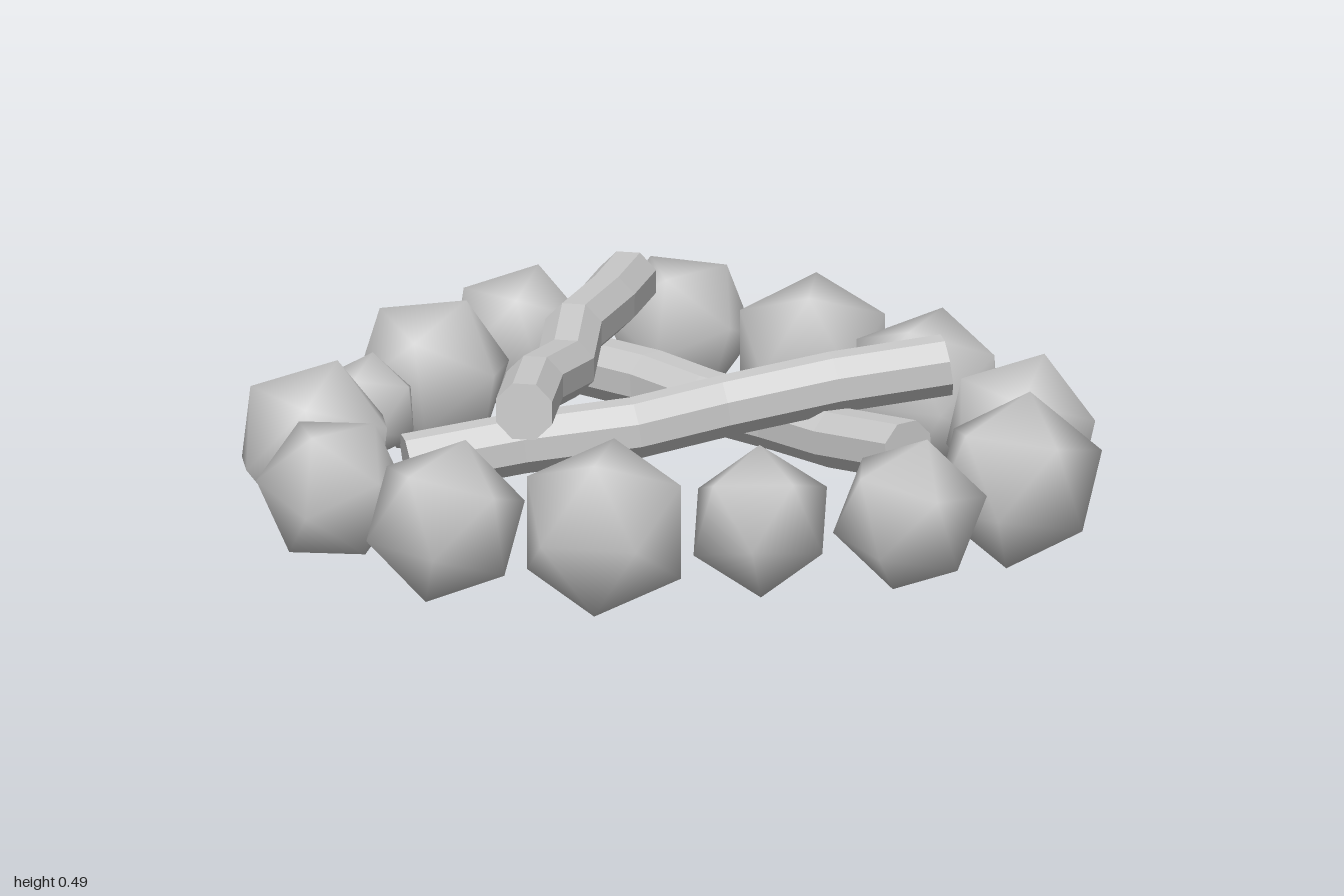
import * as THREE from 'three';
import { mergeVertices } from 'three/addons/utils/BufferGeometryUtils.js';

const vec = (x, y, z) => new THREE.Vector3(x, y, z);

// Unit direction from a compass angle (x towards z) and an elevation, in degrees
function direction(angle, elevation) {
  const a = THREE.MathUtils.degToRad(angle), e = THREE.MathUtils.degToRad(elevation);
  return vec(Math.cos(a) * Math.cos(e), Math.sin(e), Math.sin(a) * Math.cos(e));
}

// Orthonormal frame spanned by two directions
function frame(a, b) {
  const x = a.clone().normalize();
  const z = a.clone().cross(b).normalize();
  return new THREE.Matrix4().makeBasis(x, z.clone().cross(x), z);
}

// Smooth-shaded icosahedron with two neighbouring corners turned to given directions
function stoneGeometry(r, a, b) {
  let geo = new THREE.IcosahedronGeometry(r, 0);
  geo.deleteAttribute('uv');
  geo.deleteAttribute('normal');
  geo = mergeVertices(geo, 1e-4);
  const t = (1 + Math.sqrt(5)) / 2;
  const from = frame(vec(-1, t, 0), vec(1, t, 0));
  geo.applyMatrix4(frame(a, b).multiply(from.transpose()));
  geo.computeVertexNormals();
  return geo;
}

// Eight-sided log whose rings follow a crooked path
function logGeometry(points, r) {
  const path = points.map(p => vec(...p));
  const n = path.length - 1;
  const geo = new THREE.CylinderGeometry(r, r, 1, 8, n, false, Math.PI / 8);
  const along = path[n].clone().sub(path[0]).normalize();
  const side = along.clone().cross(vec(0, 1, 0)).normalize();
  const up = side.clone().cross(along);
  const pos = geo.attributes.position;
  for (let i = 0; i < pos.count; i++) {
    const ring = Math.round((pos.getY(i) + 0.5) * n);
    const p = path[ring].clone()
      .addScaledVector(side, pos.getX(i))
      .addScaledVector(up, pos.getZ(i));
    pos.setXYZ(i, p.x, p.y, p.z);
  }
  geo.computeVertexNormals();
  return geo;
}

export function createModel() {
  const model = new THREE.Group();
  model.name = 'campfire';
  const stoneMaterial = new THREE.MeshStandardMaterial({ color: 0xcccccc });
  const logMaterial = new THREE.MeshStandardMaterial({ color: 0xcccccc, flatShading: true });

  // Ring of stones: x, z, radius, then angle and elevation of two corners
  const ring = new THREE.Group();
  ring.name = 'stoneRing';
  const stones = [
    [-0.23, -0.815, 0.176, -85, 11, -26, -11],
    [0.12, -0.665, 0.196, -131, 0, -65, 0],
    [0.44, -0.457, 0.2, -114, 0, -47, 0],
    [0.73, -0.2, 0.19, -122, 25, -56, 8],
    [0.815, 0.16, 0.205, -91, 12, -27, 17],
    [0.64, 0.48, 0.182, -80, 20, -17, 15],
    [0.32, 0.615, 0.175, -98, 8, -36, 22],
    [-0.015, 0.75, 0.212, -124, 0, -56, 0],
    [-0.38, 0.79, 0.192, -95, 12, -32, 10],
    [-0.695, 0.605, 0.178, -84, 8, -23, -8],
    [-0.82, 0.275, 0.198, -116, 22, -49, 8],
    [-0.77, -0.02, 0.127, -116, 12, -48, 12],
    [-0.69, -0.305, 0.193, -99, 25, -38, 4],
    [-0.565, -0.635, 0.172, -120, 15, -60, 5],
  ];
  stones.forEach(([x, z, r, a1, e1, a2, e2], i) => {
    const geo = stoneGeometry(r, direction(a1, e1), direction(a2, e2));
    const stone = new THREE.Mesh(geo, stoneMaterial);
    stone.name = `stone${i + 1}`;
    stone.position.set(x, 0.2, z);
    ring.add(stone);
  });
  model.add(ring);

  // Three crooked logs stacked in a triangle
  const logs = {
    topLog: [[-0.31, 0.355, -0.64], [-0.3, 0.37, -0.4], [-0.305, 0.39, -0.11],
      [-0.265, 0.375, 0.12], [-0.275, 0.41, 0.37], [-0.235, 0.425, 0.63]],
    middleLog: [[-0.55, 0.23, 0.48], [-0.31, 0.265, 0.365], [-0.06, 0.295, 0.28],
      [0.12, 0.325, 0.16], [0.355, 0.37, 0.06], [0.595, 0.4, -0.04]],
    bottomLog: [[-0.41, 0.2, -0.49], [-0.17, 0.22, -0.32], [0, 0.225, -0.18],
      [0.2, 0.235, -0.045], [0.37, 0.25, 0.1], [0.585, 0.29, 0.28]],
  };
  for (const [name, points] of Object.entries(logs)) {
    const log = new THREE.Mesh(logGeometry(points, 0.071), logMaterial);
    log.name = name;
    model.add(log);
  }
  return model;
}
